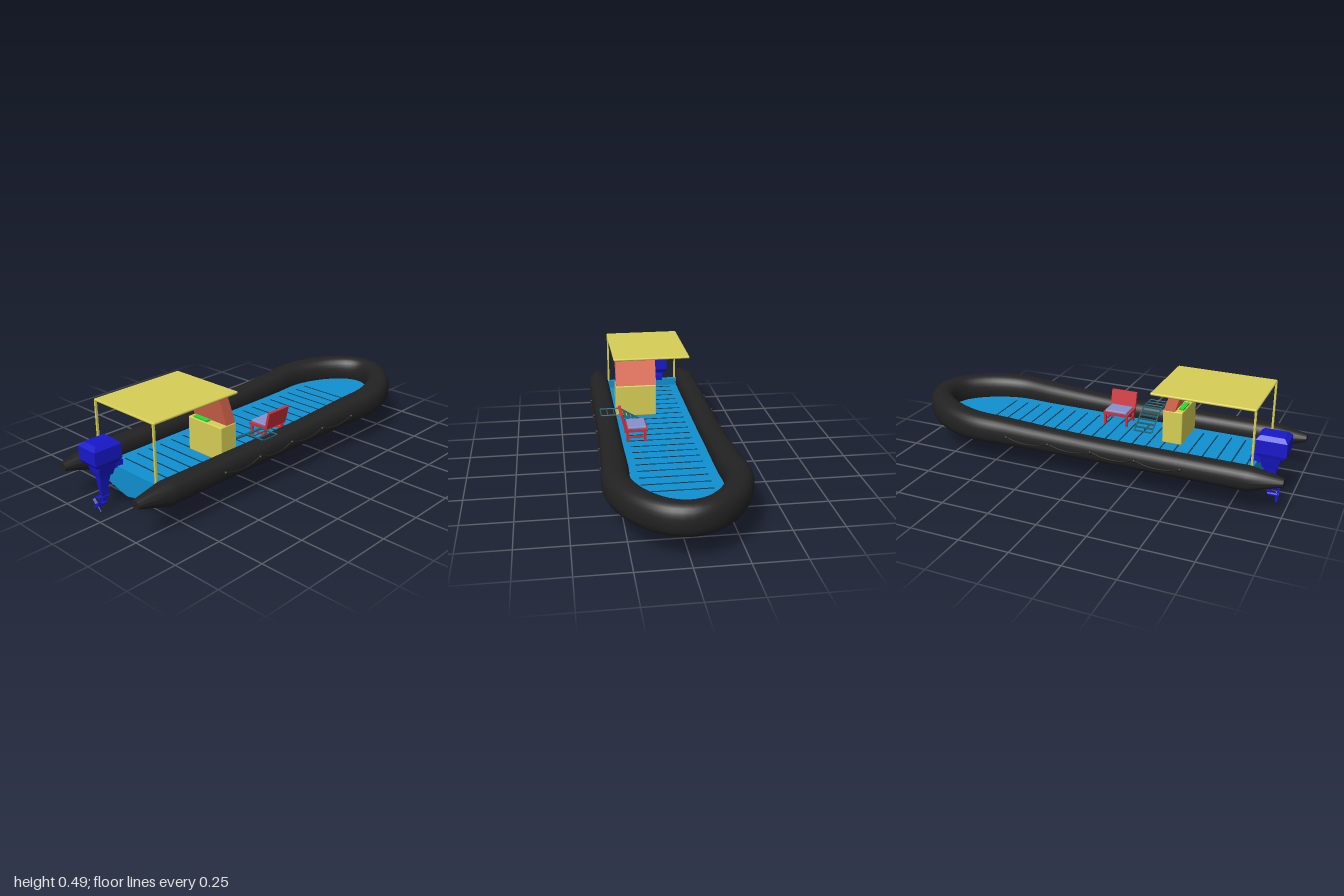
import * as THREE from 'three';
import { toCreasedNormals } from 'three/addons/utils/BufferGeometryUtils.js';
import { RoundedBoxGeometry } from 'three/addons/geometries/RoundedBoxGeometry.js';

const V = (x, y, z) => new THREE.Vector3(x, y, z);
const paint = (color) => new THREE.MeshStandardMaterial({ color });
const rubber = paint(0x222222), blue = paint(0x1090d0), groove = paint(0x0b3d55), yellow = paint(0xd6ce55),
  orange = paint(0xe06a50), red = paint(0xcc2f38), cushion = paint(0x8890cc), motorBlue = paint(0x1818cc),
  teal = paint(0x1f6070), green = paint(0x22dd33);
const ss = THREE.MathUtils.smoothstep;

const DECK = 0.16;
// Centreline of the inflatable collar on one side, from bow to stern
const COLLAR = [[0.94, 0], [0.915, 0.09], [0.845, 0.17], [0.745, 0.235], [0.6, 0.278], [0.4, 0.273], [0, 0.265], [-0.4, 0.263], [-0.84, 0.2625]];
const collarHalfWidth = (x) => 0.0575 + 0.01 * ss(x, 0, 0.6) - 0.0065 * ss(x, 0.7, 0.94);
const collarTop = (x) => 0.235 + 0.045 * ss(x, -0.15, 1.0);

// Skin a series of closed rings, with caps at both ends
function loft(rings, crease) {
  const n = rings[0].length, pos = [], idx = [];
  rings.forEach((r) => r.forEach((p) => pos.push(p.x, p.y, p.z)));
  for (let i = 0; i < rings.length - 1; i++) {
    for (let j = 0; j < n; j++) {
      const a = i * n + j, b = i * n + (j + 1) % n;
      idx.push(a, b, a + n, a + n, b, b + n);
    }
  }
  [0, rings.length - 1].forEach((i) => {
    const c = rings[i].reduce((s, p) => s.add(p), V(0, 0, 0)).divideScalar(n);
    const k = pos.length / 3;
    pos.push(c.x, c.y, c.z);
    for (let j = 0; j < n; j++) {
      const a = i * n + j, b = i * n + (j + 1) % n;
      if (i === 0) idx.push(k, b, a); else idx.push(k, a, b);
    }
  });
  const g = new THREE.BufferGeometry();
  g.setAttribute('position', new THREE.Float32BufferAttribute(pos, 3));
  g.setIndex(idx);
  return toCreasedNormals(g, crease);
}

function add(parent, name, geo, mat, x = 0, y = 0, z = 0) {
  const m = new THREE.Mesh(geo, mat);
  m.name = name;
  m.position.set(x, y, z);
  parent.add(m);
  return m;
}

// Box given by its extents
function box(parent, name, mat, x0, x1, y0, y1, z0, z1, r = 0) {
  const s = [x1 - x0, y1 - y0, z1 - z0];
  const geo = r ? new RoundedBoxGeometry(...s, 3, r) : new THREE.BoxGeometry(...s);
  return add(parent, name, geo, mat, (x0 + x1) / 2, (y0 + y1) / 2, (z0 + z1) / 2);
}

// Round bar between two points
function bar(parent, name, mat, a, b, r) {
  return add(parent, name, new THREE.TubeGeometry(new THREE.LineCurve3(a, b), 1, r, 8), mat);
}

// Vertical stack of rectangular sections: [y, x0, x1, halfDepth]
const stack = (rows, z) => loft(rows.map(([y, a, b, h]) => [V(a, y, z + h), V(b, y, z + h), V(b, y, z - h), V(a, y, z - h)]), 0.3);

function buildCollar(boat) {
  const port = COLLAR.map(([x, z]) => V(x, 0, -z)).reverse();
  const path = new THREE.CatmullRomCurve3([...port, ...COLLAR.slice(1).map(([x, z]) => V(x, 0, z))], false, 'centripetal');
  const ring = (c, t, rw, rh, y) => {
    const side = V(0, 1, 0).cross(t).normalize();
    return Array.from({ length: 28 }, (_, j) => {
      const a = (j / 28) * Math.PI * 2, ca = Math.cos(a), sa = Math.sin(a);
      const p = c.clone().addScaledVector(side, rw * Math.sign(ca) * Math.abs(ca) ** 0.85);
      p.y = y + rh * Math.sign(sa) * Math.abs(sa) ** 0.85;
      return p;
    });
  };
  const rings = [ring(V(-1, 0, -0.26), V(1, 0, 0), 0.025, 0.019, 0.187)];
  for (let i = 0; i <= 110; i++) {
    const c = path.getPointAt(i / 110), top = collarTop(c.x), low = 0.12 + 0.004 * ss(c.x, 0.6, 1);
    rings.push(ring(c, path.getTangentAt(i / 110), collarHalfWidth(c.x), (top - low) / 2, (top + low) / 2));
  }
  rings.push(ring(V(-1, 0, 0.26), V(-1, 0, 0), 0.025, 0.019, 0.187));
  add(boat, 'inflatableCollar', loft(rings, 0.7), rubber);
}

function buildHull(boat) {
  const edge = new THREE.CatmullRomCurve3(COLLAR.map(([x, z]) => V(x, 0, z)).reverse(), false, 'centripetal');
  const rings = [];
  for (let i = 0; i <= 48; i++) {
    const p = edge.getPoint(i / 48), w = Math.max(p.z - 0.03, 0.012), x = p.x - 0.01 * ss(p.x, 0.6, 0.94);
    const keel = 0.062 + 0.006 * ss(-x, 0.2, 0.84) + 0.062 * Math.max(0, (x - 0.52) / 0.4) ** 1.2;
    const chine = Math.max(0.127, keel + 0.004), k = Math.min(0.01, w / 2);
    rings.push([[w, DECK], [-w, DECK], [-w, chine], [-k, keel], [k, keel], [w, chine]].map(([s, y]) => V(x, y, -s)));
  }
  rings[0].forEach((p) => { p.x = -0.84; });
  add(boat, 'hull', loft(rings, 0.35), blue);
  box(boat, 'transom', blue, -0.84, -0.815, 0.12, 0.2, -0.22, 0.22);
  // Gaps between the deck boards
  for (let i = -7; i <= 12; i++) {
    const x = -0.276 + i * 0.073;
    box(boat, 'deckGroove', groove, x - 0.003, x + 0.003, DECK, DECK + 0.002, -0.165, 0.165);
  }
}

function buildGrabLines(boat) {
  for (const s of [-1, 1]) {
    const at = (x, y) => V(x, y, s * (0.264 + 0.012 * Math.max(0, x) + collarHalfWidth(x) + 0.004));
    const pts = [];
    for (let i = 0; i <= 16; i++) {
      const x = -0.53 + i * 0.0569, u = (i % 4) / 4;
      pts.push(at(x, 0.186 - 0.08 * u * (1 - u)));
      if (i % 4 === 0) {
        const p = at(x, 0.186);
        add(boat, 'ropeAnchor', new THREE.SphereGeometry(0.009, 10, 8), rubber, p.x, p.y, p.z);
      }
    }
    add(boat, 'grabLine', new THREE.TubeGeometry(new THREE.CatmullRomCurve3(pts), 64, 0.0035, 6), rubber);
  }
}

function buildConsole(boat) {
  box(boat, 'console', yellow, -0.435, -0.333, DECK, 0.335, -0.022, 0.2, 0.006);
  box(boat, 'dashPanel', green, -0.43, -0.405, 0.33, 0.343, 0.01, 0.1);
  add(boat, 'windscreen', stack([[0.333, -0.395, -0.337, 0.109], [0.48, -0.44, -0.386, 0.109]], 0.088), orange);
  // Canopy with a slightly crowned top, carried on rear posts
  box(boat, 'canopy', yellow, -0.84, -0.33, 0.479, 0.492, -0.205, 0.21, 0.006);
  for (const z of [-0.198, 0.203]) box(boat, 'canopyPost', yellow, -0.84, -0.83, DECK, 0.482, z - 0.005, z + 0.005);
}

function buildBench(boat) {
  const bench = new THREE.Group();
  bench.name = 'bench';
  boat.add(bench);
  box(bench, 'seatFrame', red, -0.11, 0.03, 0.215, 0.228, 0.07, 0.185);
  box(bench, 'seatCushion', cushion, -0.1, 0.02, 0.226, 0.24, 0.075, 0.17, 0.005);
  const back = box(bench, 'backrest', red, -0.11, 0.03, 0.222, 0.312, 0.185, 0.199);
  back.rotation.x = 0.24;
  for (const x of [-0.1, 0.02]) {
    for (const z of [0.082, 0.172]) box(bench, 'benchLeg', red, x - 0.006, x + 0.006, DECK, 0.217, z - 0.006, z + 0.006);
    box(bench, 'benchRail', red, x - 0.004, x + 0.004, 0.18, 0.188, 0.082, 0.172);
  }
}

function buildLadder(boat) {
  const foot = V(0, DECK, 0.055), knee = V(0, 0.242, 0.19), tip = V(0, 0.242, 0.295);
  const at = (p, x) => V(x, p.y, p.z);
  for (const x of [-0.248, -0.152]) {
    bar(boat, 'ladderRail', teal, at(foot, x), at(knee, x), 0.004);
    bar(boat, 'ladderRail', teal, at(knee, x), at(tip, x), 0.004);
  }
  for (let i = 0; i <= 6; i++) {
    const p = foot.clone().lerp(knee, i / 6);
    box(boat, 'ladderTread', teal, -0.248, -0.152, p.y - 0.003, p.y + 0.003, p.z - 0.006, p.z + 0.006);
  }
  for (let i = 1; i <= 3; i++) {
    const p = knee.clone().lerp(tip, i / 3);
    bar(boat, 'ladderRung', teal, at(p, -0.248), at(p, -0.152), 0.003);
  }
}

function buildOutboard(boat) {
  const motor = new THREE.Group(), z = -0.09;
  motor.name = 'outboardMotor';
  boat.add(motor);
  add(motor, 'cowling', stack([[0.235, -0.965, -0.845, 0.052], [0.255, -0.98, -0.832, 0.06], [0.322, -0.98, -0.832, 0.06], [0.342, -0.962, -0.85, 0.042]], z), motorBlue);
  add(motor, 'midsection', stack([[0.17, -0.935, -0.865, 0.026], [0.2, -0.945, -0.86, 0.036], [0.236, -0.95, -0.855, 0.045]], z), motorBlue);
  add(motor, 'driveLeg', stack([[0.022, -0.908, -0.896, 0.003], [0.06, -0.918, -0.888, 0.008], [0.13, -0.928, -0.88, 0.012], [0.172, -0.932, -0.872, 0.02]], z), motorBlue);
  box(motor, 'mountBracket', motorBlue, -0.875, -0.808, 0.195, 0.225, z - 0.03, z + 0.03);
  box(motor, 'cavitationPlate', motorBlue, -0.94, -0.885, 0.062, 0.067, z - 0.014, z + 0.014);
  const hub = add(motor, 'gearcase', new THREE.CylinderGeometry(0.009, 0.009, 0.055, 12), motorBlue, -0.923, 0.029, z);
  hub.rotation.z = Math.PI / 2;
  // Four pitched propeller blades
  for (let i = 0; i < 4; i++) {
    const arm = new THREE.Group();
    arm.name = 'propellerBlade';
    arm.position.set(-0.943, 0.029, z);
    arm.rotation.x = Math.PI / 4 + (i * Math.PI) / 2;
    motor.add(arm);
    add(arm, 'blade', new THREE.BoxGeometry(0.003, 0.034, 0.013), motorBlue, 0, 0.019, 0).rotation.y = 0.7;
  }
}

export function createModel() {
  const boat = new THREE.Group();
  boat.name = 'inflatableBoat';
  [buildCollar, buildHull, buildGrabLines, buildConsole, buildBench, buildLadder, buildOutboard].forEach((build) => build(boat));
  return boat;
}
